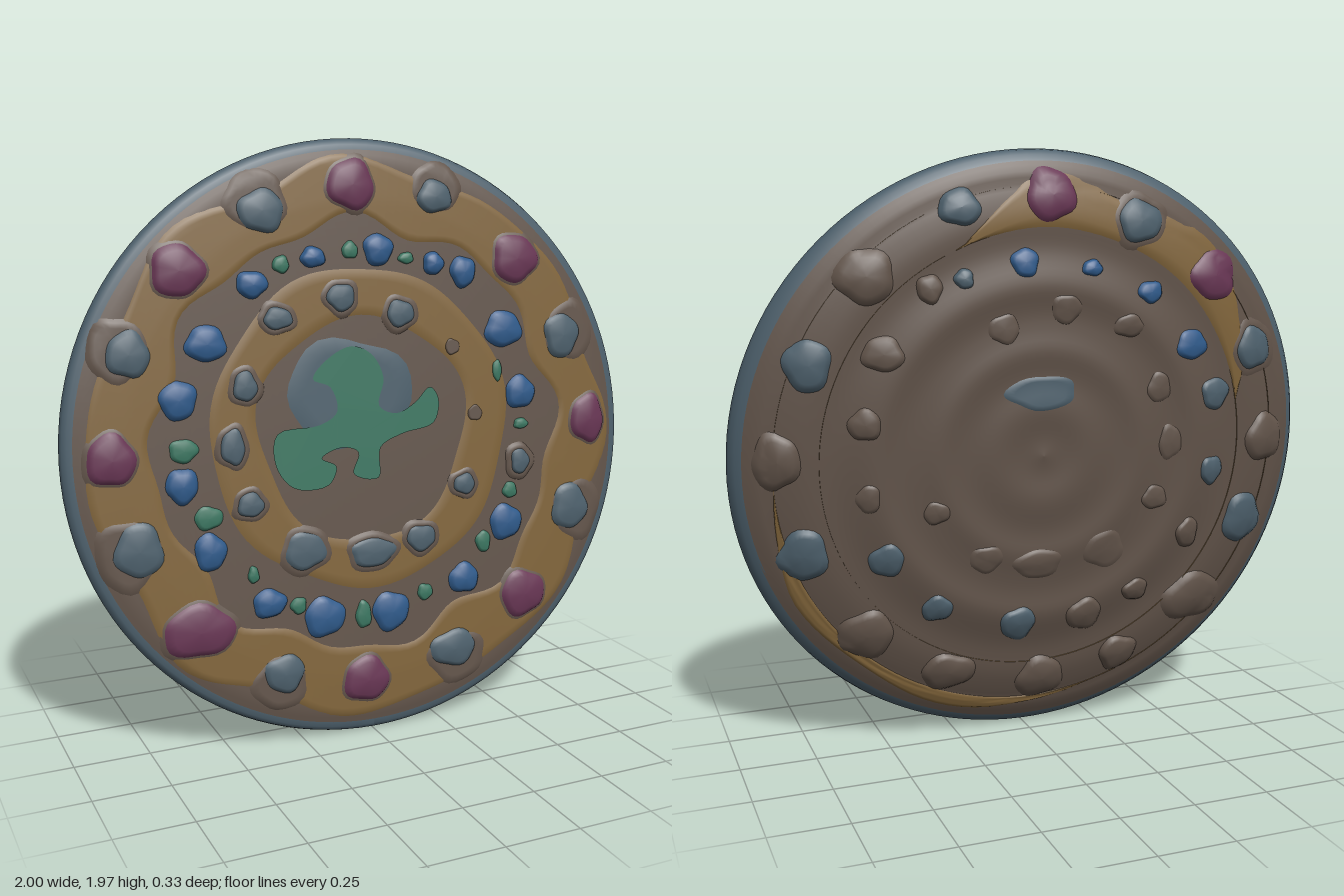
import * as THREE from 'three';

const CENTRE_Y = 0.99;
const paint = (name, hex) => Object.assign(new THREE.MeshStandardMaterial({ color: hex }), { name });
const M = {
  gold: paint('old gold', 0x80643a),
  brown: paint('earth brown', 0x62544a),
  slate: paint('slate blue', 0x4d606c),
  plum: paint('plum', 0x683654),
  blue: paint('gem blue', 0x2f5a8a),
  green: paint('sea green', 0x3a7560),
};

// The plate leans back and is turned a little
const lean = (x, v) => 0.015 + 0.03 * x - 0.092 * v;

// Straight-line interpolation through [radius, height] pairs
function profile(points, r) {
  for (let i = 1; i < points.length; i++) {
    const [r0, h0] = points[i - 1], [r1, h1] = points[i];
    if (r <= r1) return h0 + (h1 - h0) * (r - r0) / (r1 - r0);
  }
  return points[points.length - 1][1];
}
const FRONT = [[0, 0.042], [0.8, 0.04], [0.93, 0.036], [0.97, 0.027], [1, 0]];
const BACK = [[0, -0.15], [0.34, -0.145], [0.4, -0.137], [0.55, -0.135], [0.62, -0.122],
  [0.86, -0.085], [0.93, -0.062], [0.97, -0.042], [1, 0]];

function surface(x, v, side) {
  const r = Math.hypot(x, v / 0.987);
  if (side > 0) return profile(FRONT, r);
  return profile(BACK, r) + 0.035 * v * (1 - r * r) + 0.004 * Math.sin(r * 30) * (r < 0.9 ? 1 : 0);
}

// A patch draped over the front (side 1) or back (side -1), between two outlines
function patch(name, mat, o) {
  const { cx = 0, cy = 0, sx = 1, sy = 1, inner = () => 0, outer, side = 1,
    lift = 0, dome = 0, skirt = true, rings = 6, segs = 28 } = o;
  const pos = [], idx = [];
  for (let k = 0; k <= rings; k++) for (let j = 0; j < segs; j++) {
    const a = j / segs * Math.PI * 2, t = k / rings;
    const r = inner(a) + (outer(a) - inner(a)) * t;
    const x = cx + sx * r * Math.cos(a), v = cy + sy * r * Math.sin(a);
    const edge = skirt && (k === rings || (k === 0 && inner(a) > 0));
    const h = edge ? -0.003 : lift + dome * (1 - t * t);
    pos.push(x, v + CENTRE_Y, lean(x, v) + surface(x, v, side) + side * h);
  }
  for (let k = 0; k < rings; k++) for (let j = 0; j < segs; j++) {
    const a = k * segs + j, b = k * segs + (j + 1) % segs, c = a + segs, d = b + segs;
    if (side > 0) idx.push(a, c, d, a, d, b);
    else idx.push(a, d, c, a, b, d);
  }
  const g = new THREE.BufferGeometry();
  g.setAttribute('position', new THREE.Float32BufferAttribute(pos, 3));
  g.setIndex(idx);
  g.computeVertexNormals();
  const mesh = new THREE.Mesh(g, mat);
  mesh.name = name;
  return mesh;
}

// Hand-formed blob; all sizes in hundredths
function blob(name, mat, [x, v, rx, ry], extra = {}) {
  const { grow = 0, ...rest } = extra;
  return patch(name, mat, {
    cx: x / 100, cy: v / 100, sx: (rx + grow) / 100, sy: (ry + grow) / 100,
    outer: (a) => 1 + 0.06 * Math.sin(3 * a + x) + 0.04 * Math.sin(5 * a + v), ...rest,
  });
}

// Stud positions: x, height from centre, half width, half height
const STUDS = [[-2, 84, 9, 9], [58, 59, 9.5, 9], [86, 2, 7.5, 9.5], [58, -58, 9.5, 9],
  [-3, -80, 9, 8.5], [-60, -56, 13, 9.5], [-85, 1, 8.5, 9], [-61, 58, 9.5, 9]];
const PEBBLES = [[28, 80, 7, 6], [-33, 76, 8.5, 7.5], [76, 32, 7.5, 8.5], [-78, 33, 7.5, 8],
  [-78, -28, 8.5, 9.5], [78, -29, 8, 9], [30, -74, 9.5, 7], [-32, -74, 7.5, 7]];
const GEMS = [[7, 63, 5.5, 5.5], [-16, 61, 4.5, 3.5], [-37, 53, 5.5, 4.5], [27, 58, 4, 4],
  [38, 55, 5, 5.5], [-53, 35, 7, 6], [53, 35, 7.5, 6.5], [-63, 18, 6.5, 6.5], [59, 13, 6, 6],
  [-63, -9, 5.5, 6], [-55, -31, 5.5, 6.5], [52, -32, 6.5, 6.5], [-36, -50, 6, 5],
  [35, -50, 6, 5.5], [-17, -57, 7.5, 7], [7, -58, 7, 7]];
const BEADS = [[-27, 59, 3, 3], [-3, 63, 3, 3], [17, 60, 3, 2], [50, 21, 2, 4], [-62, 2, 5, 4],
  [-55, -20, 5, 4], [54, -21, 3, 3], [-41, -40, 2, 3], [-26, -52, 3, 3], [-3, -58, 3, 5],
  [20, -53, 3, 3], [43, -38, 3, 4], [59, 2, 3, 2]];
const INNER = [[-7, 48, 5.5, 5], [14, 42, 5.5, 5], [-29, 42, 5.5, 4], [-41, 21, 4.5, 5.5],
  [-46, 2, 4.5, 6.5], [-41, -17, 5, 4.5], [-23, -34, 8, 7], [1, -37, 9, 5.5],
  [19, -34, 6, 5], [36, -17, 4.5, 4], [58, -11, 4, 5]];
const DOTS = [[33, 30, 3, 3], [41, 7, 3, 3]];
const EMBLEM = [[-31, 5], [-32, -5], [-26, -13], [-14, -13], [-11, -7], [-16, -4], [-9, -1],
  [-3, -3], [-5, -10], [4, -12], [5, -2], [13, 2], [25, 5], [27, 13], [24, 17], [18, 12],
  [11, 9], [5, 12], [7, 21], [3, 29], [-4, 32], [-13, 28], [-18, 22], [-12, 19], [-10, 11], [-16, 7]];

export function createModel() {
  const root = new THREE.Group();
  root.name = 'ornamentedPlate';
  const add = (...m) => root.add(...m);

  // Plate faces and rounded rim
  const face = { outer: () => 0.965, sy: 0.987, skirt: false, rings: 50, segs: 120 };
  add(patch('frontFace', M.brown, face), patch('backFace', M.brown, { ...face, side: -1 }));
  const rimGeo = new THREE.LatheGeometry([[0.96, -0.048], [0.98, -0.037], [0.995, -0.018], [1, 0.002],
    [0.994, 0.016], [0.98, 0.026], [0.96, 0.029]].map(([r, h]) => new THREE.Vector2(r, h)), 120);
  rimGeo.rotateX(Math.PI / 2);
  const p = rimGeo.attributes.position;
  for (let i = 0; i < p.count; i++) {
    const x = p.getX(i), v = p.getY(i) * 0.987;
    p.setXYZ(i, x, v + CENTRE_Y, p.getZ(i) + lean(x, v));
  }
  rimGeo.computeVertexNormals();
  const rim = new THREE.Mesh(rimGeo, M.slate);
  rim.name = 'rim';
  add(rim);

  // Gold bands on the front
  add(patch('outerGoldBand', M.gold, {
    lift: 0.004, rings: 14, segs: 144, sy: 0.987,
    inner: (a) => 0.705 + 0.022 * Math.sin(8 * a + 1) + 0.018 * Math.sin(13 * a) + 0.015 * Math.sin(a),
    outer: (a) => 0.925 + 0.022 * Math.cos(8 * a) + 0.014 * Math.sin(11 * a + 2),
  }));
  add(patch('innerGoldBand', M.gold, {
    cy: 0.045, lift: 0.004, rings: 8, segs: 96,
    inner: (a) => 0.362 + 0.012 * Math.sin(5 * a) + 0.008 * Math.sin(3 * a),
    outer: (a) => 0.54 + 0.008 * Math.sin(7 * a) + 0.006 * Math.sin(4 * a),
  }));

  // Front ornaments, the larger ones set in brown collars
  const collar = { lift: 0.007 };
  STUDS.forEach((s) => add(blob('studCollar', M.brown, s, { ...collar, grow: 1.2 }),
    blob('stud', M.plum, s, { lift: 0.009, dome: 0.018 })));
  PEBBLES.forEach((s) => {
    const out = [s[0] * 1.04, s[1] * 1.04, s[2], s[3]];
    add(blob('pebbleCollar', M.brown, out, { ...collar, grow: 3 }),
      blob('pebble', M.slate, s, { lift: 0.009, dome: 0.014 }));
  });
  GEMS.forEach((s) => add(blob('gem', M.blue, s, { lift: 0.006, dome: 0.015 })));
  BEADS.forEach((s) => add(blob('bead', M.green, s, { lift: 0.005, dome: 0.006 })));
  INNER.forEach((s) => add(blob('innerPebbleCollar', M.brown, s, { ...collar, grow: 2 }),
    blob('innerPebble', M.slate, s, { lift: 0.009, dome: 0.008 })));
  DOTS.forEach((s) => add(blob('brownDot', M.brown, s, collar)));

  // Central emblem on a slate ground
  add(blob('emblemGround', M.slate, [-5, 17, 24, 19], { lift: 0.004 }));
  const curve = new THREE.CatmullRomCurve3(
    EMBLEM.map(([x, v]) => new THREE.Vector3(x / 100, v / 100, 0)), true);
  const outline = curve.getPoints(130).slice(0, -1).map((q) => new THREE.Vector2(q.x, q.y));
  const emblemGeo = new THREE.ShapeGeometry(new THREE.Shape(outline));
  const e = emblemGeo.attributes.position;
  for (let i = 0; i < e.count; i++) {
    const x = e.getX(i), v = e.getY(i);
    e.setXYZ(i, x, v + CENTRE_Y, lean(x, v) + surface(x, v, 1) + 0.008);
  }
  emblemGeo.computeVertexNormals();
  const emblem = new THREE.Mesh(emblemGeo, M.green);
  emblem.name = 'emblem';
  add(emblem);

  // Back: worn gold arcs
  const arc = (mid, start, width) => patch('backGoldArc', M.gold, {
    side: -1, lift: 0.004, rings: 8, segs: 120, inner: () => start,
    outer: (a) => start + width * THREE.MathUtils.clamp(Math.cos(a - mid) * 4 - 2.6, 0, 1)
      * (0.85 + 0.15 * Math.sin(9 * a)),
  });
  add(arc(2.05, 0.73, 0.2), arc(-0.95, 0.87, 0.06));

  // Back: the same ornaments, coloured only at the upper right side
  const bright = ([x, v]) => v > 20 && x < 10;
  const back = { side: -1, lift: 0.005 };
  STUDS.forEach((s) => add(blob('backStud', bright(s) ? M.plum : M.brown, s, { ...back, dome: 0.02 })));
  PEBBLES.forEach((s) => {
    if (bright(s)) add(blob('backPebbleCollar', M.brown, s, { ...back, grow: 2.5 }));
    add(blob('backPebble', s[1] < -60 ? M.brown : M.slate, s, { ...back, lift: 0.008, dome: 0.015 }));
  });
  GEMS.forEach((s, i) => {
    const mat = bright(s) ? M.blue : i % 2 ? M.slate : M.brown;
    add(blob('backGem', mat, s, { ...back, dome: 0.012, grow: -0.7 }));
  });
  INNER.forEach((s) => add(blob('backInnerPebble', M.brown, s, { ...back, lift: 0.002, dome: 0.008 })));
  add(blob('backCentreMark', M.slate, [1, 21, 13, 6], { side: -1, lift: 0.004 }));
  return root;
}
